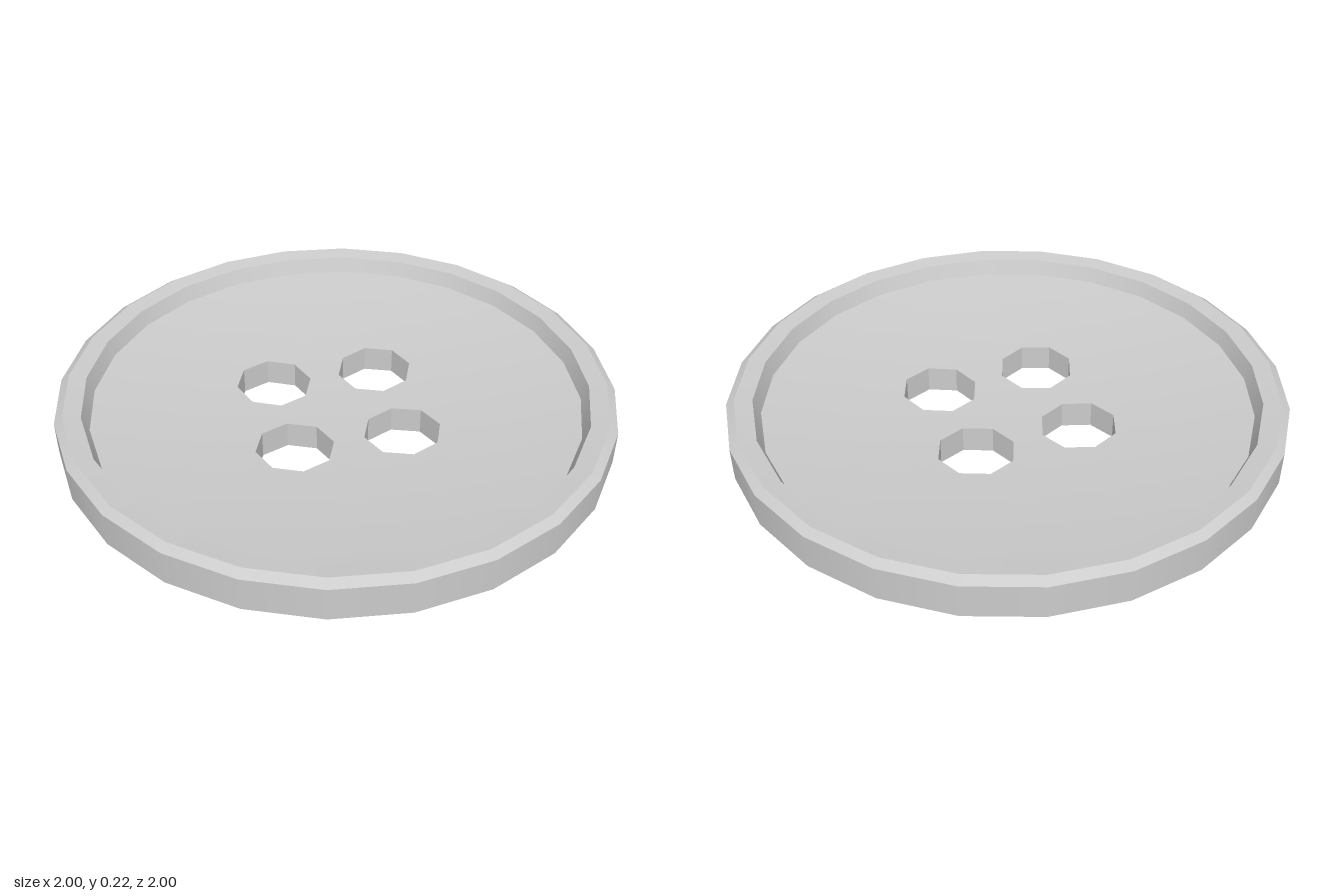
import * as THREE from 'three';

const SIDES = 24;
const CORE = 0.45;   // radius of the centre piece that carries the holes
const LIP = 0.885;   // radius where the dished floor meets the rim
const underside = r => 0.08 * r * r;
const floor = r => 0.1 + 0.075 * r * r;

// Adds a 24-gon ring to a closed path
function circlePath(path, cx, cy, radius, sides) {
  for (let i = 0; i < sides; i++) {
    const a = (i / sides) * Math.PI * 2;
    const x = cx + radius * Math.cos(a), y = cy + radius * Math.sin(a);
    if (i) path.lineTo(x, y); else path.moveTo(x, y);
  }
  path.closePath();
  return path;
}

// Centre plate with four octagonal holes, bent to follow the dished faces
function centreGeometry() {
  const shape = circlePath(new THREE.Shape(), 0, 0, CORE, SIDES);
  for (const x of [-0.195, 0.195])
    for (const y of [-0.195, 0.195])
      shape.holes.push(circlePath(new THREE.Path(), x, y, 0.14, 8));
  const geo = new THREE.ExtrudeGeometry(shape, { depth: 1, bevelEnabled: false });
  geo.rotateX(-Math.PI / 2);
  const pos = geo.attributes.position, nor = geo.attributes.normal;
  const n = new THREE.Vector3();
  for (let i = 0; i < pos.count; i++) {
    const x = pos.getX(i), z = pos.getZ(i), r = Math.hypot(x, z);
    const top = pos.getY(i) > 0.5;
    pos.setY(i, top ? floor(r) : underside(r));
    if (Math.abs(nor.getY(i)) > 0.5) {
      const k = top ? 0.15 : 0.16;
      n.set(-k * x, 1, -k * z).normalize().multiplyScalar(top ? 1 : -1);
      nor.setXYZ(i, n.x, n.y, n.z);
    }
  }
  return geo;
}

// Points along a dished face between two radii
function dish(rule, from, to, steps = 6) {
  return Array.from({ length: steps + 1 }, (_, i) => {
    const r = from + (to - from) * i / steps;
    return [r, rule(r)];
  });
}

export function createModel() {
  const group = new THREE.Group();
  group.name = 'button';
  const material = new THREE.MeshStandardMaterial({ color: 0xcccccc });
  const add = (name, geo) => {
    const mesh = new THREE.Mesh(geo, material);
    mesh.name = name;
    group.add(mesh);
  };

  add('centreWithHoles', centreGeometry());

  // Each strip is smooth around the disc, with hard edges between strips
  const strips = {
    underside: dish(underside, CORE, 1),
    outerWall: [[1, 0.08], [1, 0.205]],
    rimBevel: [[1, 0.205], [0.97, 0.225]],
    rimTop: [[0.97, 0.225], [0.907, 0.216]],
    rimInnerWall: [[0.907, 0.216], [LIP, floor(LIP)]],
    dishedFloor: dish(floor, LIP, CORE),
  };
  for (const [name, points] of Object.entries(strips))
    add(name, new THREE.LatheGeometry(points.map(p => new THREE.Vector2(...p)), SIDES));

  return group;
}
